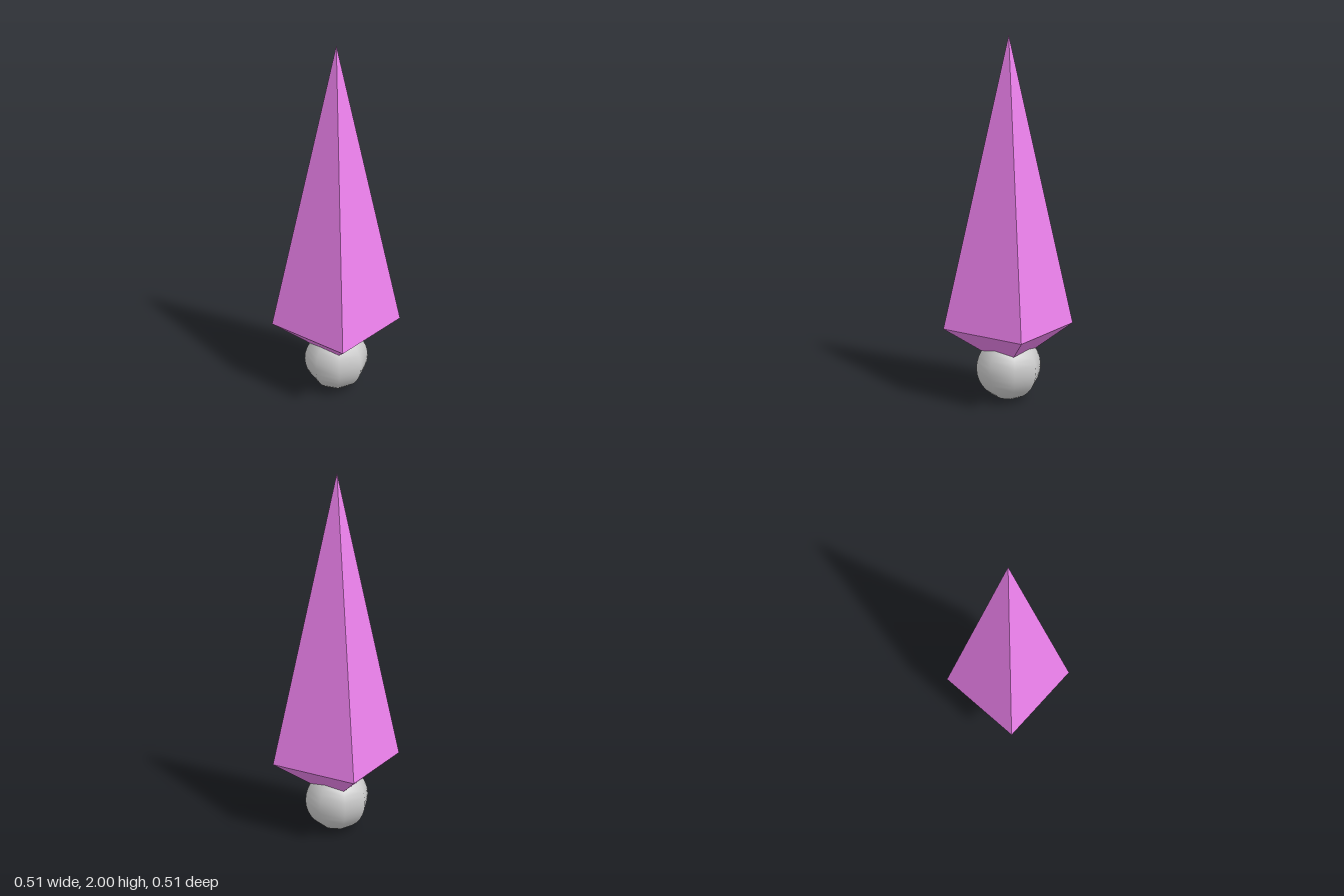
import * as THREE from 'three';

export function createModel() {
  const model = new THREE.Group();
  const ballRadius = 0.182;
  const collarHeight = 0.415;
  const collarHalfWidth = 0.257;

  // Joint ball: eight meridians, smooth shaded
  const ball = new THREE.Mesh(
    new THREE.SphereGeometry(ballRadius, 8, 16),
    new THREE.MeshStandardMaterial({ color: 0xcccccc })
  );
  ball.name = 'jointBall';
  ball.position.y = ballRadius;
  model.add(ball);

  // Four-sided spike: short lower pyramid from the ball's centre, long upper one to the tip
  const profile = [
    new THREE.Vector2(0, ballRadius),
    new THREE.Vector2(collarHalfWidth * Math.SQRT2, collarHeight),
    new THREE.Vector2(0, 2),
  ];
  const spike = new THREE.Mesh(
    new THREE.LatheGeometry(profile, 4, Math.PI / 4),
    new THREE.MeshStandardMaterial({ color: 0xee82ee, flatShading: true })
  );
  spike.name = 'spike';
  model.add(spike);

  return model;
}
